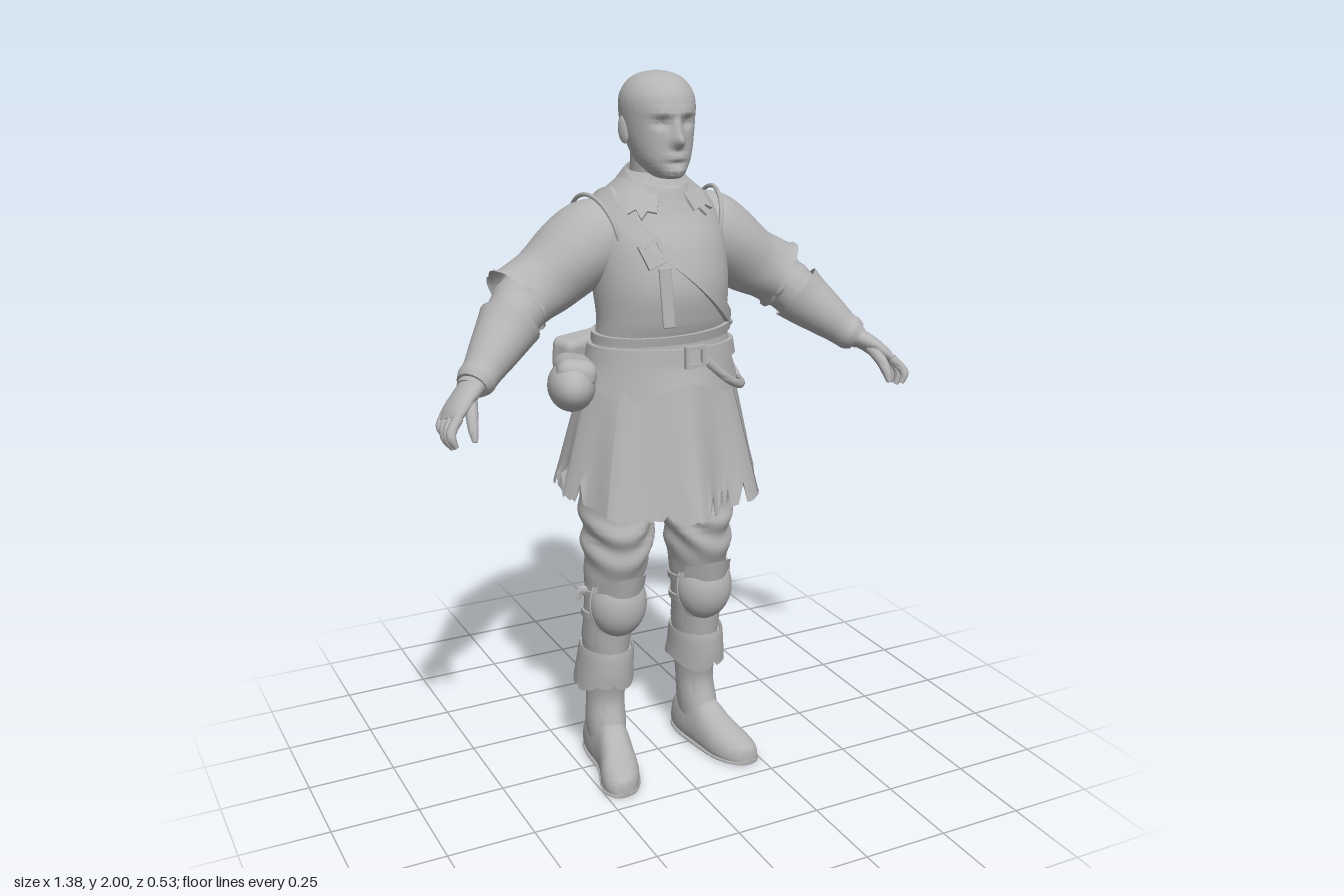
import * as THREE from 'three';
import { toCreasedNormals } from 'three/addons/utils/BufferGeometryUtils.js';
import { RoundedBoxGeometry } from 'three/addons/geometries/RoundedBoxGeometry.js';

const V = (x, y, z) => new THREE.Vector3(x, y, z);
const TAU = Math.PI * 2;
const bell = (dx, dy, sx, sy) => Math.exp(-((dx / sx) ** 2) - (dy / sy) ** 2);
const rnd = (i) => { const s = Math.sin(i * 127.1 + 11.7) * 43758.5453; return s - Math.floor(s); };

// Catmull-Rom resampling of a table of numeric rows
function smooth(T, k) {
  const out = [];
  for (let i = 0; i < T.length - 1; i++) {
    const a = T[i - 1] || T[i], b = T[i], c = T[i + 1], d = T[i + 2] || c;
    for (let s = 0; s < k; s++) {
      const t = s / k;
      out.push(b.map((_, j) => 0.5 * (2 * b[j] + (c[j] - a[j]) * t + (2 * a[j] - 5 * b[j] + 4 * c[j] - d[j]) * t * t
        + (3 * b[j] - a[j] - 3 * c[j] + d[j]) * t ** 3)));
    }
  }
  return [...out, T[T.length - 1]];
}

// Skin over rows of points, turned so its faces look outwards
function skin(rows, { cap = false, open = false, crease = 0.9 } = {}) {
  const n = rows[0].length, pts = rows.flat(), idx = [];
  for (let i = 0; i < rows.length - 1; i++) for (let j = 0; j < (open ? n - 1 : n); j++) {
    const a = i * n + j, b = i * n + (j + 1) % n, c = a + n, d = b + n;
    idx.push(a, b, c, b, d, c);
  }
  const mid = (r) => r.reduce((s, p) => s.add(p), V(0, 0, 0)).divideScalar(r.length);
  if (cap) [0, rows.length - 1].forEach((r, e) => {
    const m = pts.push(mid(rows[r])) - 1;
    for (let j = 0; j < n; j++) {
      const a = r * n + j, b = r * n + (j + 1) % n;
      e ? idx.push(a, b, m) : idx.push(b, a, m);
    }
  });
  const o = mid(pts);
  let vol = 0;
  for (let i = 0; i < idx.length; i += 3) {
    const [a, b, c] = [0, 1, 2].map((k) => pts[idx[i + k]].clone().sub(o));
    vol += a.dot(b.cross(c));
  }
  if (vol < 0) idx.reverse();
  const g = new THREE.BufferGeometry().setFromPoints(pts);
  g.setIndex(idx);
  return toCreasedNormals(g, crease);
}

// Horizontal oval given its height, centre, half width, front and back
const oval = (a, [y, cx, w, zf, zb], off = 0) => V(cx + (w + off) * Math.sin(a), y, (zf + zb) / 2 + ((zf - zb) / 2 + off) * Math.cos(a));
const ring = (row, n, bend = (p) => p) => Array.from({ length: n }, (_, j) => bend(oval(j / n * TAU, row), j / n * TAU, j));
const loft = (T, k, n, bend, opt) => skin(smooth(T, k).map((r) => ring(r, n, bend)), opt);

// Limb along a path of rows x, y, z, radius, radius
function limb(T, k = 5, n = 20, cap = true, bend = () => 0) {
  const S = smooth(T, k), P = S.map((r) => V(r[0], r[1], r[2]));
  return skin(S.map((r, i) => {
    const t = P[Math.min(i + 1, P.length - 1)].clone().sub(P[Math.max(i - 1, 0)]).normalize();
    const u = V(0, 0, 1).cross(t).normalize(), v = t.clone().cross(u);
    return Array.from({ length: n }, (_, j) => {
      const a = j / n * TAU, e = 1 + bend(a, i / (S.length - 1));
      return P[i].clone().addScaledVector(u, r[3] * e * Math.cos(a)).addScaledVector(v, r[4] * e * Math.sin(a));
    });
  }), { cap });
}

// Flat strap wrapped round a lofted body
function rowAt(S, y) {
  const up = S[1][0] > S[0][0];
  let i = S.findIndex((r) => (up ? r[0] >= y : r[0] <= y));
  i = Math.max(1, i < 0 ? S.length - 1 : i);
  const t = (y - S[i - 1][0]) / (S[i][0] - S[i - 1][0]);
  return S[i].map((b, j) => S[i - 1][j] + (b - S[i - 1][j]) * t);
}
function strap(S, yOf, h, lift, n = 64) {
  const edge = (dy, off) => Array.from({ length: n }, (_, j) => {
    const a = j / n * TAU;
    return oval(a, rowAt(S, yOf(a) + dy), off);
  });
  return skin([edge(h, 0), edge(h, lift), edge(-h, lift), edge(-h, 0), edge(h, 0)], { crease: 0.6 });
}

function mirrored(geo) {
  const g = geo.index ? geo.toNonIndexed() : geo.clone();
  for (const at of [g.attributes.position, g.attributes.normal]) for (let i = 0; i < at.count; i += 3) {
    const v = [0, 2, 1].map((k) => V().fromBufferAttribute(at, i + k));
    v.forEach((p, k) => at.setXYZ(i + k, -p.x, p.y, p.z));
  }
  return g;
}

export function createModel() {
  const model = new THREE.Group();
  const stone = new THREE.MeshStandardMaterial({ color: 0xb4b4b4, side: THREE.DoubleSide });
  stone.name = 'plain grey';
  const add = (name, geo) => { const m = new THREE.Mesh(geo, stone); m.name = name; model.add(m); };
  const pair = (name, geo) => { add(name + 'Left', geo); add(name + 'Right', mirrored(geo)); };
  const put = (geo, x, y, z, ry = 0, rx = 0, rz = 0) => geo.rotateZ(rz).rotateX(rx).rotateY(ry).translate(x, y, z);
  const ball = (sx, sy, sz) => new THREE.SphereGeometry(1, 28, 18).scale(sx, sy, sz);

  // Head with modelled face
  const face = (p) => {
    if (p.z < 0.02) return p;
    const x = Math.abs(p.x), y = p.y;
    p.z += 0.034 * bell(x, y - 1.828, 0.015, 0.017) + 0.018 * bell(x, y - 1.855, 0.012, 0.025)
      - 0.014 * bell(x - 0.036, y - 1.873, 0.02, 0.014) + 0.007 * bell(x - 0.03, y - 1.9, 0.035, 0.011)
      + 0.008 * bell(x, y - 1.787, 0.026, 0.009) - 0.005 * bell(x, y - 1.77, 0.03, 0.008) + 0.006 * bell(x, y - 1.75, 0.028, 0.014);
    return p;
  };
  add('head', loft([[1.73, 0, 0.03, 0.1, 0.02], [1.74, 0, 0.045, 0.113, -0.03], [1.77, 0, 0.068, 0.116, -0.07], [1.8, 0, 0.08, 0.114, -0.088],
    [1.84, 0, 0.09, 0.112, -0.112], [1.88, 0, 0.096, 0.111, -0.125], [1.92, 0, 0.098, 0.109, -0.125], [1.95, 0, 0.091, 0.096, -0.114],
    [1.978, 0, 0.07, 0.068, -0.087], [1.993, 0, 0.04, 0.035, -0.055], [2, 0, 0.004, 0, -0.014]], 6, 96, face, { cap: true }));
  pair('ear', put(ball(0.009, 0.036, 0.02), 0.094, 1.85, -0.014, -0.25, -0.15));
  add('neck', loft([[1.64, 0, 0.08, 0.05, -0.12], [1.71, 0, 0.066, 0.055, -0.1], [1.79, 0, 0.066, 0.06, -0.092]], 5, 32, undefined, { cap: true }));

  // Tunic body
  const body = [[1.18, 0, 0.185, 0.15, -0.12], [1.3, 0, 0.188, 0.155, -0.12], [1.36, 0, 0.185, 0.172, -0.125], [1.45, 0, 0.19, 0.183, -0.162],
    [1.55, 0, 0.193, 0.155, -0.188], [1.62, 0, 0.185, 0.115, -0.185], [1.67, 0, 0.155, 0.088, -0.165], [1.71, 0, 0.105, 0.07, -0.14], [1.74, 0, 0.07, 0.055, -0.11]];
  const bodyS = smooth(body, 6);
  add('tunic', loft(body, 6, 64, undefined, { cap: true }));

  // Collar tilted down to the front, with torn flaps
  const tilt = (p) => { p.y -= p.z * 0.28; return p; };
  add('collar', loft([[1.665, 0, 0.125, 0.108, -0.148], [1.695, 0, 0.103, 0.094, -0.13], [1.725, 0, 0.083, 0.082, -0.11], [1.728, 0, 0.076, 0.074, -0.102],
    [1.69, 0, 0.07, 0.06, -0.1]], 4, 48, (p, a, j) => { tilt(p); if (p.y < 1.66) p.y += 0.012 * rnd(j); return p; }));
  const flap = new THREE.Shape([[0, 0.04], [0.075, 0.03], [0.085, -0.035], [0.06, -0.02], [0.045, -0.05], [0.03, -0.025], [0.005, -0.03]].map((p) => new THREE.Vector2(...p)));
  pair('collarFlap', put(new THREE.ExtrudeGeometry(flap, { depth: 0.008, bevelEnabled: false }), 0.04, 1.665, 0.088, 0.5, -0.65));

  // Sleeves, forearms, bracers and hands
  const torn = (a, t) => 0.03 * Math.sin(a * 3 + t * 9) * t + (t > 0.95 ? 0.1 * rnd(Math.round(a * 4)) : 0);
  pair('sleeve', limb([[0.1, 1.575, -0.045, 0.08, 0.1], [0.16, 1.565, -0.048, 0.108, 0.114], [0.22, 1.53, -0.052, 0.11, 0.117], [0.3, 1.472, -0.052, 0.097, 0.11],
    [0.36, 1.44, -0.042, 0.091, 0.102], [0.405, 1.415, -0.028, 0.093, 0.097]], 6, 36, false, torn));
  pair('forearm', limb([[0.3, 1.47, -0.045, 0.08, 0.08], [0.38, 1.42, -0.03, 0.078, 0.082], [0.44, 1.365, 0.01, 0.071, 0.076], [0.5, 1.312, 0.055, 0.058, 0.064],
    [0.55, 1.267, 0.09, 0.044, 0.05], [0.59, 1.24, 0.115, 0.03, 0.04]], 5, 24, true, (a, t) => 0.03 * Math.sin(t * 60 + a)));
  pair('bracer', limb([[0.435, 1.372, 0.008, 0.085, 0.088], [0.46, 1.348, 0.025, 0.077, 0.08], [0.51, 1.303, 0.062, 0.062, 0.066], [0.545, 1.271, 0.086, 0.051, 0.055],
    [0.565, 1.256, 0.1, 0.05, 0.054]], 4, 24, false));
  pair('wristWrap', limb([[0.553, 1.265, 0.092, 0.048, 0.054], [0.565, 1.256, 0.1, 0.05, 0.056], [0.58, 1.246, 0.11, 0.041, 0.048]], 3, 20));
  pair('palm', limb([[0.572, 1.25, 0.105, 0.028, 0.038], [0.605, 1.23, 0.13, 0.026, 0.046], [0.64, 1.2, 0.15, 0.022, 0.052], [0.66, 1.178, 0.163, 0.015, 0.048]], 4, 20));
  for (let f = 0; f < 4; f++) {
    const z = 0.2 - f * 0.027, drop = [0.01, 0, 0, 0.014][f];
    pair('finger' + (f + 1), limb([[0.648, 1.193, z - 0.005, 0.014, 0.014], [0.672, 1.165, z + 0.012, 0.013, 0.013], [0.675, 1.138 + drop, z + 0.02, 0.012, 0.012],
      [0.665, 1.115 + drop, z + 0.022, 0.007, 0.007]], 3, 10));
  }
  pair('thumb', limb([[0.6, 1.222, 0.155, 0.017, 0.017], [0.612, 1.19, 0.195, 0.016, 0.016], [0.617, 1.16, 0.217, 0.013, 0.013], [0.618, 1.135, 0.23, 0.007, 0.007]], 3, 10));

  // Skirt of overlapping panels with a torn hem, one fold in front and two behind
  const cuts = [0, 0.85, 1.5, 2.25, 3.14, 4.0, 4.78, 5.43, 6.2832];
  for (let s = 0; s < 8; s++) {
    const n = 20, rows = [];
    for (let i = 0; i <= 12; i++) {
      const t = i / 12;
      rows.push(Array.from({ length: n + 1 }, (_, j) => {
        const q = j / n, a = cuts[s] - 0.02 + q * (cuts[s + 1] - cuts[s] + 0.04), c = Math.cos(a);
        const jag = (rnd(j + s * 31) > 0.88 ? 0.07 * rnd(j + s * 17) : 0.008 * rnd(j)) * Math.max(0, t - 0.8) * 5;
        const y = 1.25 - t * (0.38 + 0.05 * Math.max(0, c)) + jag;
        const fold = t * (0.018 * Math.cos(a * 8) * Math.sign(c) * Math.sqrt(Math.abs(c)) + 0.006 * (2 * q - 1) ** 4) + (s % 2) * 0.004;
        return oval(a, [y, 0, 0.193 + 0.095 * t ** 0.85, 0.155 + 0.088 * t ** 1.1, -0.13 - 0.115 * t ** 0.9], fold);
      }));
    }
    add('skirtPanel' + (s + 1), skin(rows, { open: true }));
  }
  // Hip yoke arched over the front, and the belts
  add('hipYoke', loft([[1.3, 0, 0.192, 0.162, -0.128], [1.24, 0, 0.205, 0.168, -0.142], [1.17, 0, 0.224, 0.182, -0.165]], 4, 72, (p, a) => {
    if (p.y < 1.24) p.y += (1.24 - p.y) * 0.3 * Math.cos(a * 4);
    return p;
  }));
  const waist = [[1.18, 0, 0.215, 0.178, -0.15], [1.24, 0, 0.205, 0.168, -0.142], [1.32, 0, 0.19, 0.16, -0.126]];
  add('belt', strap(waist, (a) => 1.262 + 0.008 * Math.cos(a + 0.6), 0.021, 0.012));
  add('upperBelt', strap(bodyS, (a) => 1.315 + 0.008 * Math.sin(a), 0.012, 0.012));
  const buckle = (w, h) => {
    const s = new THREE.Shape([[-w, -h], [w, -h], [w, h], [-w, h]].map((p) => new THREE.Vector2(...p)));
    s.holes.push(new THREE.Path([[-w, -h], [-w, h], [w, h], [w, -h]].map(([x, y]) => new THREE.Vector2(x * 0.65, y * 0.65))));
    return new THREE.ExtrudeGeometry(s, { depth: 0.012, bevelEnabled: false });
  };
  add('beltBuckle', put(buckle(0.032, 0.03), 0.02, 1.268, 0.176, 0.1));
  add('hangingStrap', limb([[0.06, 1.25, 0.176, 0.012, 0.008], [0.13, 1.19, 0.165, 0.012, 0.008], [0.2, 1.155, 0.12, 0.012, 0.008], [0.235, 1.16, 0.02, 0.012, 0.008], [0.215, 1.24, -0.07, 0.012, 0.008]], 6, 8));

  // Diagonal strap from right shoulder to left hip
  add('shoulderStrap', strap(bodyS, (a) => 1.5 - 0.18 * Math.sin(a), 0.02, 0.012, 96));
  add('strapBuckle', put(buckle(0.03, 0.034), -0.085, 1.545, 0.142, -0.2, -0.35, 0.4));
  add('strapTongue', put(new RoundedBoxGeometry(0.034, 0.16, 0.01, 2, 0.004), -0.062, 1.435, 0.179, -0.15, -0.1, 0.05));
  // Tunic shoulder edges
  pair('armholeEdge', put(new THREE.TorusGeometry(0.12, 0.006, 8, 40), 0.165, 1.565, -0.045, Math.PI / 2 - 0.15, 0.2));

  // Pouches: square at the back right, large on the right hip; thin round flap at the left hip
  add('backPouch', put(new RoundedBoxGeometry(0.19, 0.165, 0.075, 4, 0.025), -0.14, 1.18, -0.193, 0.4, 0.08));
  add('backPouchFlap', put(new RoundedBoxGeometry(0.198, 0.1, 0.083, 3, 0.025), -0.14, 1.22, -0.192, 0.4, 0.08));
  add('backPouchStud', put(ball(0.01, 0.01, 0.01), -0.157, 1.17, -0.236));
  add('hipPouch', put(ball(0.11, 0.07, 0.065), -0.27, 1.185, 0.02, 1.25, 0, -0.1));
  add('hipPouchFlap', put(new RoundedBoxGeometry(0.17, 0.08, 0.11, 4, 0.035), -0.255, 1.22, 0.01, 1.25, 0.15, -0.1));
  add('hipFlap', put(ball(0.095, 0.075, 0.022), 0.2, 1.195, -0.12, 2.15, -0.12));
  add('knifeHandle', limb([[0.2, 1.23, -0.03, 0.014, 0.014], [0.215, 1.28, -0.02, 0.013, 0.013], [0.226, 1.31, -0.01, 0.016, 0.016]], 3, 10));

  // Trousers, wrinkled above the knee
  const leg = [[1.04, 0.1, 0.095, 0.1, -0.12], [0.85, 0.126, 0.097, 0.1, -0.138], [0.75, 0.126, 0.099, 0.108, -0.134], [0.66, 0.131, 0.09, 0.102, -0.118],
    [0.55, 0.138, 0.079, 0.062, -0.105], [0.45, 0.144, 0.072, 0.045, -0.118], [0.38, 0.147, 0.068, 0.035, -0.132], [0.3, 0.147, 0.055, 0.025, -0.12]];
  pair('trouserLeg', loft(leg, 9, 40, (p, a) => {
    const k = 0.008 * bell(0, p.y - 0.73, 1, 0.09) * Math.sin(p.y * 65 + 2.6 * Math.sin(a + 0.6) + 1.5 * Math.cos(2 * a));
    p.x += k * Math.sin(a); p.z += k * Math.cos(a);
    return p;
  }, { cap: true }));

  // Knee guards with rim, straps and ties
  const legS = smooth(leg, 6);
  pair('kneeGuard', put(new THREE.SphereGeometry(1, 28, 20, 0, Math.PI).scale(0.085, 0.104, 0.083), 0.139, 0.525, 0.018, 0, -0.06));
  pair('kneeGuardRim', put(new THREE.TorusGeometry(1, 0.04, 8, 40).scale(0.085, 0.104, 0.1), 0.139, 0.525, 0.018, 0, -0.06));
  pair('kneeGuardPeak', skin([0, 1, 2].map((i) => Array.from({ length: 13 }, (_, j) => {
    const q = j / 6 - 1;
    return V(0.138 + q * 0.075, 0.565 + i * 0.032 - q * q * 0.012 * i, 0.098 - q * q * 0.06 + i * 0.007);
  })), { open: true }));
  for (const y of [0.55, 0.48]) pair('kneeStrap', strap(legS, (a) => y + 0.01 * Math.cos(a), 0.01, 0.007, 40));
  pair('kneeTie', limb([[0.215, 0.55, -0.02, 0.012, 0.008], [0.235, 0.565, -0.02, 0.012, 0.008], [0.245, 0.535, -0.02, 0.006, 0.005]], 3, 8));

  // Boots with ragged turned-down cuffs
  pair('bootShaft', loft([[0.36, 0.147, 0.07, 0.04, -0.135], [0.28, 0.147, 0.06, 0.03, -0.13], [0.2, 0.149, 0.055, 0.014, -0.12], [0.12, 0.153, 0.056, 0.035, -0.122],
    [0.05, 0.155, 0.05, 0.05, -0.115]], 5, 32, undefined, { cap: true }));
  pair('bootCuff', loft([[0.345, 0.147, 0.065, 0.03, -0.12], [0.372, 0.147, 0.076, 0.048, -0.135], [0.31, 0.15, 0.081, 0.05, -0.15], [0.255, 0.152, 0.086, 0.045, -0.163]],
    4, 44, (p, a, j) => { if (p.y < 0.28) p.y += 0.02 * Math.cos(a * 2) * Math.sin(a) + (rnd(j + 3) > 0.9 ? 0.025 * rnd(j) : 0); return p; }));
  // Feet as cross-sections along z: z, centre x, half width, height
  const foot = smooth([[-0.136, 0.15, 0.022, 0.07], [-0.122, 0.15, 0.044, 0.115], [-0.06, 0.152, 0.056, 0.14], [0.02, 0.158, 0.054, 0.14], [0.07, 0.168, 0.056, 0.11],
    [0.12, 0.182, 0.06, 0.085], [0.165, 0.194, 0.052, 0.068], [0.195, 0.2, 0.032, 0.055], [0.203, 0.201, 0.012, 0.04]], 4);
  const section = (grow, top) => foot.map(([z, cx, w, h]) => Array.from({ length: 28 }, (_, j) => {
    const a = j / 28 * TAU, c = Math.cos(a), s = Math.sin(a), H = top || h;
    return V(cx + (w + grow) * Math.sign(c) * Math.abs(c) ** 0.75, s > 0 ? H * (0.3 + 0.7 * s) : H * 0.3 * (1 - Math.abs(s) ** 0.4), z);
  }));
  pair('foot', skin(section(0, 0), { cap: true }));
  pair('sole', skin(section(0.003, 0.02), { cap: true, crease: 0.6 }));
  return model;
}
